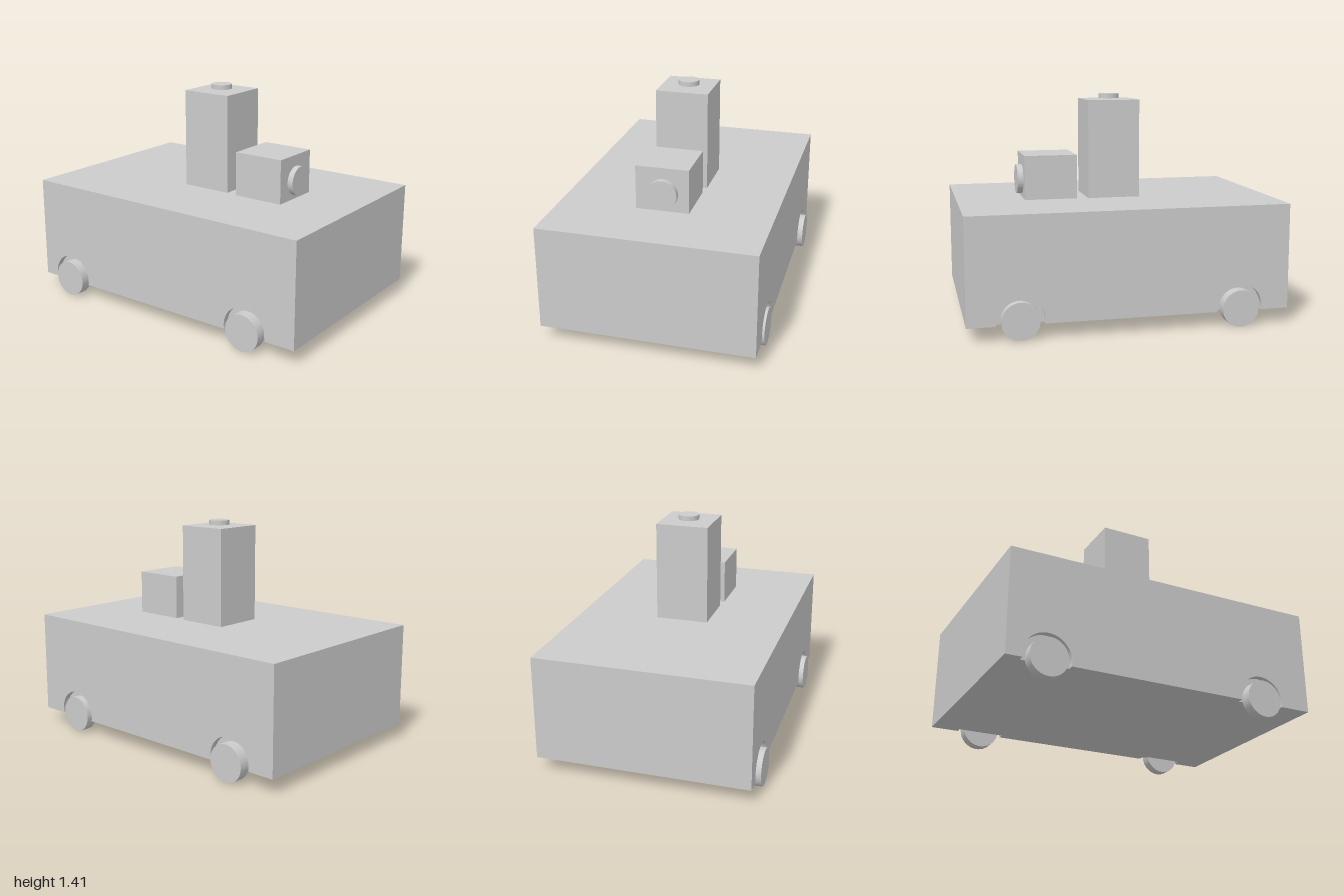
import * as THREE from 'three';

const material = new THREE.MeshStandardMaterial({ color: 0xcccccc, flatShading: true });

function add(parent, name, geometry, x, y, z) {
  const mesh = new THREE.Mesh(geometry, material);
  mesh.name = name;
  mesh.position.set(x, y, z);
  parent.add(mesh);
  return mesh;
}

const HALF_DEPTH = 0.668, BOTTOM = 0.1, TOP = 0.76;
const WELL_Y = 0.125, WELL_R = 0.147, WELL_DEPTH = 0.04;

// Side panel outline with round wheel wells cut into the lower edge
function sidePanel(wells) {
  const s = new THREE.Shape();
  const dip = Math.asin((WELL_Y - BOTTOM) / WELL_R);
  s.moveTo(-1, BOTTOM);
  for (const x of wells) {
    s.lineTo(x - WELL_R * Math.cos(dip), BOTTOM);
    s.absarc(x, WELL_Y, WELL_R, Math.PI + dip, -dip, true);
  }
  s.lineTo(1, BOTTOM);
  s.lineTo(1, TOP);
  s.lineTo(-1, TOP);
  s.closePath();
  return new THREE.ExtrudeGeometry(s, { depth: WELL_DEPTH, bevelEnabled: false, curveSegments: 40 });
}

export function createModel() {
  const model = new THREE.Group();
  model.name = 'cart';

  // Body: solid core between two notched side panels
  const body = new THREE.Group();
  body.name = 'body';
  model.add(body);
  const coreHalf = HALF_DEPTH - WELL_DEPTH;
  add(body, 'bodyCore', new THREE.BoxGeometry(2, TOP - BOTTOM, coreHalf * 2), 0, (TOP + BOTTOM) / 2, 0);
  add(body, 'frontPanel', sidePanel([-0.755, 0.655]), 0, 0, coreHalf);
  add(body, 'backPanel', sidePanel([-0.68, 0.68]), 0, 0, -HALF_DEPTH);

  // Wheels: [name, x, z of centre]
  const wheels = [
    ['frontRightWheel', -0.755, 0.66],
    ['frontLeftWheel', 0.655, 0.66],
    ['backRightWheel', -0.68, -0.665],
    ['backLeftWheel', 0.68, -0.643],
  ];
  const wheel = new THREE.CylinderGeometry(0.116, 0.116, 0.07, 48).rotateX(Math.PI / 2);
  for (const [name, x, z] of wheels) add(model, name, wheel, x, 0.122, z);

  // Tower with its round cap
  add(model, 'tower', new THREE.BoxGeometry(0.334, 0.625, 0.334), 0, 1.0725, 0.002);
  add(model, 'towerCap', new THREE.CylinderGeometry(0.066, 0.066, 0.03, 48), -0.003, 1.406, 0);

  // Small box with a round lamp on its left side
  add(model, 'lampBox', new THREE.BoxGeometry(0.334, 0.28, 0.334), 0.407, 0.9, 0.012);
  add(model, 'lamp', new THREE.CylinderGeometry(0.093, 0.093, 0.036, 48).rotateZ(Math.PI / 2), 0.592, 0.877, 0.006);

  return model;
}
